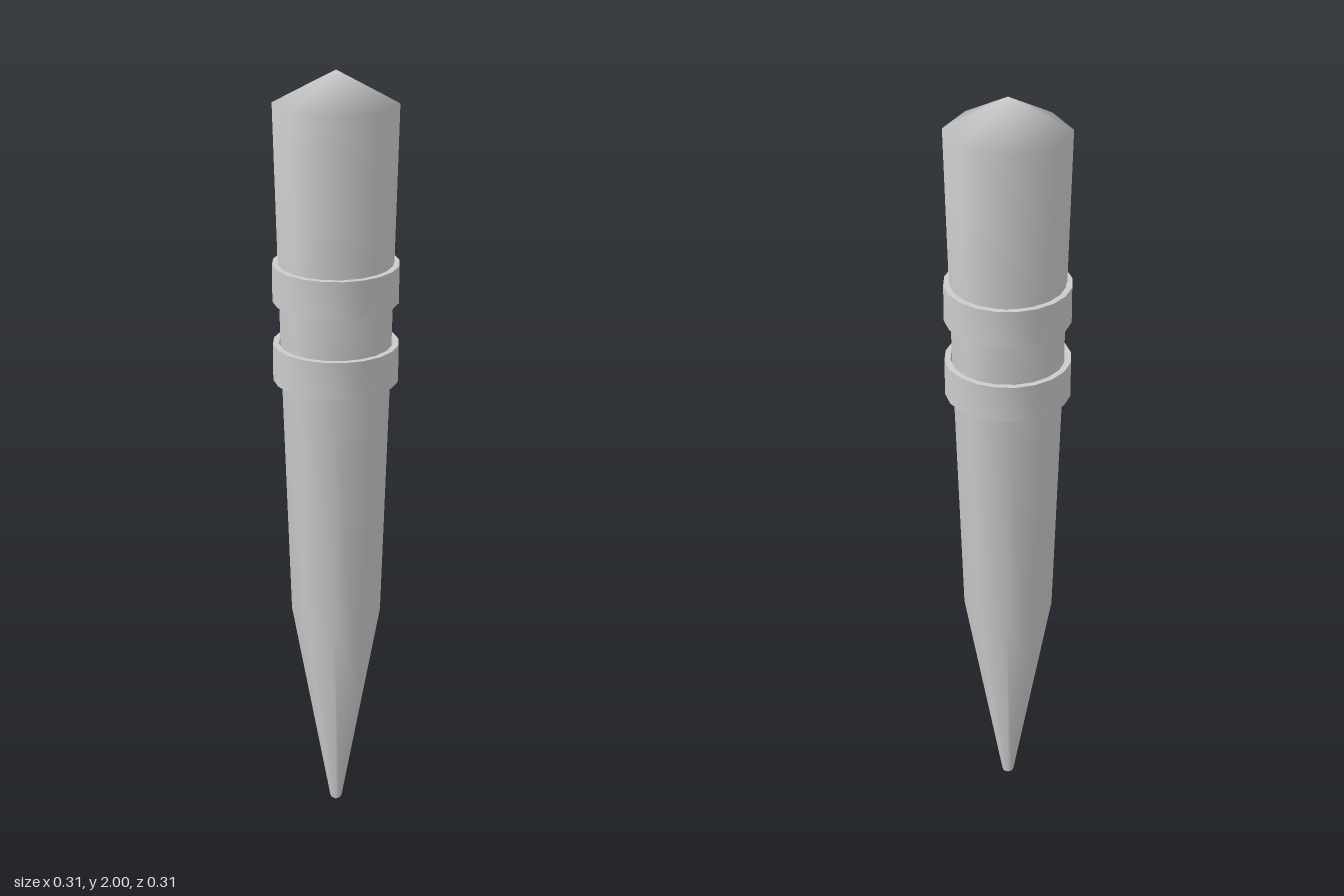
import * as THREE from 'three';
import { mergeVertices, toCreasedNormals } from 'three/addons/utils/BufferGeometryUtils.js';

const SIDES = 8;
// One value per corner, starting at +z and turning towards +x
const topRadius = [0.147, 0.153, 0.148, 0.157, 0.156, 0.153, 0.144, 0.149];
const midRadius = [0.132, 0.136, 0.135, 0.136, 0.131, 0.136, 0.13, 0.136];
const cutRadius = [0.09, 0.115, 0.1, 0.115, 0.087, 0.115, 0.1, 0.115];
const cutHeight = [0.35, 0.58, 0.58, 0.58, 0.43, 0.58, 0.58, 0.58];

// Hand-cut stake: tip, cut line, middle, shoulder and domed end
function stakeGeometry() {
  const rings = [
    () => [0, 0],
    () => [0.015, 0.012],
    (i) => [cutRadius[i], cutHeight[i]],
    (i) => [midRadius[i], 1.25],
    (i) => [topRadius[i], 1.92],
    () => [0, 2],
  ];
  const profile = rings.map((ring) => new THREE.Vector2(...ring(0)));
  const geometry = new THREE.LatheGeometry(profile, SIDES);
  const position = geometry.attributes.position;
  for (let i = 0; i <= SIDES; i++) {
    const angle = ((i % SIDES) / SIDES) * Math.PI * 2;
    rings.forEach((ring, j) => {
      const [r, y] = ring(i % SIDES);
      position.setXYZ(i * rings.length + j, r * Math.sin(angle), y, r * Math.cos(angle));
    });
  }
  geometry.deleteAttribute('uv');
  geometry.deleteAttribute('normal');
  const welded = mergeVertices(geometry, 1e-5);
  welded.computeVertexNormals();
  return welded;
}

// Open ring of metal with a rectangular section
function bandGeometry(bottom, top, inner = 0.142, outer = 0.157) {
  const section = [[inner, bottom], [outer, bottom], [outer, top], [inner, top], [inner, bottom]];
  const lathe = new THREE.LatheGeometry(section.map(([r, y]) => new THREE.Vector2(r, y)), 20);
  return toCreasedNormals(lathe, Math.PI / 6);
}

export function createModel() {
  const group = new THREE.Group();
  const material = new THREE.MeshStandardMaterial({ color: 0xcccccc });
  const add = (name, geometry) => {
    const mesh = new THREE.Mesh(geometry, material);
    mesh.name = name;
    group.add(mesh);
  };

  add('stake', stakeGeometry());
  add('lowerBand', bandGeometry(1.225, 1.32));
  add('upperBand', bandGeometry(1.43, 1.525));
  return group;
}
